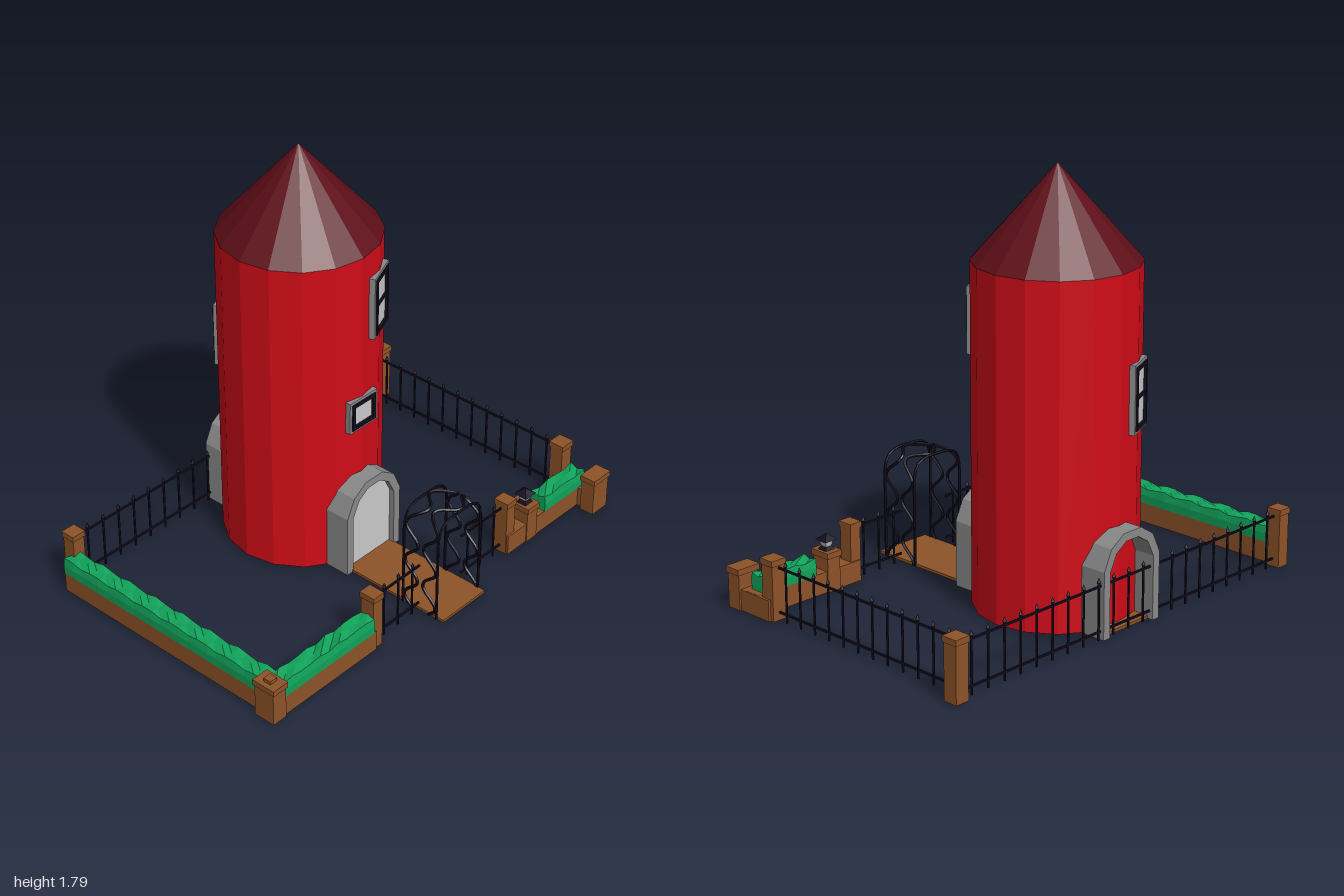
import * as THREE from 'three';

const mat = (color, side = THREE.FrontSide) =>
  new THREE.MeshStandardMaterial({ color, side, flatShading: true });
const RED = mat(0xd00c18, THREE.DoubleSide), ROOF = mat(0x5e0e18), BROWN = mat(0x8e5329);
const GREEN = mat(0x12a55c), IRON = mat(0x140e1e), STONE = mat(0x8a8a8a), PALE = mat(0xcccccc);
const CX = 0.03, CZ = -0.24, R = 0.335;

function add(parent, name, geo, material, x = 0, y = 0, z = 0) {
  const m = new THREE.Mesh(geo, material);
  m.name = name;
  m.position.set(x, y, z);
  parent.add(m);
  return m;
}

// box given by its extents
function box(parent, name, material, x0, x1, y0, y1, z0, z1) {
  return add(parent, name, new THREE.BoxGeometry(x1 - x0, y1 - y0, z1 - z0), material,
    (x0 + x1) / 2, (y0 + y1) / 2, (z0 + z1) / 2);
}

function group(parent, name) {
  const g = new THREE.Group();
  g.name = name;
  parent.add(g);
  return g;
}

// square pier with a slightly wider cap
function pier(parent, name, x, z, w, h, d = w) {
  const g = group(parent, name);
  box(g, 'pierShaft', BROWN, x - w * 0.44, x + w * 0.44, 0, h - 0.025, z - d * 0.44, z + d * 0.44);
  box(g, 'pierCap', BROWN, x - w / 2, x + w / 2, h - 0.025, h, z - d / 2, z + d / 2);
  return g;
}

// lumpy hedge: a segmented box whose upper vertices are nudged by waves
function hedge(parent, x0, x1, z0, z1) {
  const w = x1 - x0, d = z1 - z0;
  const geo = new THREE.BoxGeometry(w, 0.075, d,
    Math.max(2, Math.round(w / 0.05)), 2, Math.max(2, Math.round(d / 0.05)));
  const p = geo.attributes.position;
  for (let i = 0; i < p.count; i++) {
    const x = p.getX(i), y = p.getY(i), z = p.getZ(i);
    const n = Math.sin(x * 71 + z * 83 + 1.3);
    if (y > 0.03) p.setY(i, y - 0.005 + 0.007 * n);
    if (y > -0.03) {
      const k = (y > 0.03 ? 0.9 : 1.03) + 0.03 * n;
      if (w > d) p.setZ(i, z * k); else p.setX(i, x * k);
    }
  }
  geo.computeVertexNormals();
  add(parent, 'hedge', geo, GREEN, (x0 + x1) / 2, 0.125, (z0 + z1) / 2);
}

// iron fence along local x, with spear-tipped pickets
function fence(parent, name, ax, az, bx, bz) {
  const g = group(parent, name);
  const len = Math.hypot(bx - ax, bz - az);
  g.position.set(ax, 0, az);
  g.rotation.y = -Math.atan2(bz - az, bx - ax);
  for (const y of [0.035, 0.222])
    box(g, 'rail', IRON, 0, len, y - 0.004, y + 0.004, -0.004, 0.004);
  const n = Math.max(1, Math.round(len / 0.084));
  for (let i = 0; i < n; i++) {
    const x = (i + 0.5) * len / n;
    add(g, 'picket', new THREE.CylinderGeometry(0.005, 0.005, 0.24, 6), IRON, x, 0.12, 0);
    const tip = add(g, 'spearTip', new THREE.OctahedronGeometry(0.02), IRON, x, 0.238, 0);
    tip.scale.set(0.5, 1, 0.5);
  }
}

// framed window on the tower wall, at an angle measured from the front
function towerWindow(parent, name, angle, y, w, h, bar) {
  const g = group(parent, name);
  g.position.set(CX + Math.sin(angle) * R, y, CZ + Math.cos(angle) * R);
  g.rotation.y = angle;
  const ring = (label, material, a, b, t, z0, z1) => {
    for (const s of [-1, 1]) {
      const sx = s * (a - t) / 2, sy = s * (b - t) / 2;
      box(g, label, material, sx - t / 2, sx + t / 2, -b / 2, b / 2, z0, z1);
      box(g, label, material, -a / 2 + t, a / 2 - t, sy - t / 2, sy + t / 2, z0, z1);
    }
  };
  ring('outerFrame', STONE, w, h, 0.014, -0.035, 0.008);
  ring('innerFrame', IRON, w - 0.024, h - 0.024, 0.016, -0.03, 0.014);
  box(g, 'pane', PALE, -w / 2 + 0.02, w / 2 - 0.02, -h / 2 + 0.02, h / 2 - 0.02, -0.03, 0.003);
  if (bar) box(g, 'crossbar', IRON, -w / 2 + 0.02, w / 2 - 0.02, -0.007, 0.007, -0.02, 0.01);
}

// arched stone doorway facing local +z, with a recessed door
function doorway(parent, name, z, turn, depth, recess) {
  const g = group(parent, name);
  g.position.set(CX, 0, z);
  g.rotation.y = turn;
  const outer = [[0.16, 0], [0.16, 0.28], [0.12, 0.365], [0.05, 0.41]];
  const inner = [[0.125, 0], [0.125, 0.27], [0.09, 0.34], [0.035, 0.375]];
  const arch = (pts) => [...pts, ...pts.map(([x, y]) => [-x, y]).reverse()]
    .map(([x, y]) => new THREE.Vector2(x, y));
  const extrude = (pts, d) => new THREE.ExtrudeGeometry(new THREE.Shape(pts), { depth: d, bevelEnabled: false });
  add(g, 'stoneArch', extrude([...arch(outer), ...arch(inner).reverse()], depth), STONE, 0, 0, -depth);
  add(g, 'door', extrude(arch(inner), 0.02), PALE, 0, 0, -recess - 0.02);
}

// arbour: two plain hoops with two winding vines between them
function arbour(parent) {
  const g = group(parent, 'gardenArbour');
  const profile = [[-0.1, 0], [-0.1, 0.13], [-0.1, 0.27], [-0.098, 0.39], [-0.08, 0.44], [-0.04, 0.46],
    [0.03, 0.463], [0.1, 0.46], [0.14, 0.44], [0.158, 0.39], [0.16, 0.27], [0.16, 0.13], [0.16, 0]];
  const hoop = new THREE.CatmullRomCurve3(profile.map(([x, y]) => new THREE.Vector3(x, y, 0)));
  for (const z of [0.437, 0.613])
    add(g, 'hoop', new THREE.TubeGeometry(hoop, 40, 0.006, 6), IRON, 0, 0, z);
  const N = 44;
  for (const s of [-1, 1]) {
    const pts = [];
    for (let i = 0; i <= N; i++) {
      const p = hoop.getPointAt(i / N);
      p.z = 0.525 + s * (0.047 + 0.034 * Math.sin(i * Math.PI / 3.5));
      pts.push(p);
    }
    add(g, 'vine', new THREE.TubeGeometry(new THREE.CatmullRomCurve3(pts), 110, 0.007, 5), IRON);
  }
}

export function createModel() {
  const root = new THREE.Group();
  root.name = 'towerWithGarden';

  // tower
  const tower = group(root, 'tower');
  add(tower, 'towerWall', new THREE.CylinderGeometry(R, R, 1.41, 16, 1, true), RED, CX, 0.705, CZ);
  add(tower, 'roof', new THREE.ConeGeometry(R + 0.002, 0.38, 16), ROOF, CX, 1.6, CZ);
  towerWindow(tower, 'upperWindow', 0.4, 1.155, 0.165, 0.275, true);
  towerWindow(tower, 'lowerWindow', 0, 0.703, 0.16, 0.145, false);
  towerWindow(tower, 'backWindow', Math.PI + 0.43, 0.9, 0.155, 0.28, true);
  doorway(tower, 'frontDoorway', 0.163, 0, 0.19, 0.025);
  doorway(tower, 'backDoorway', -0.645, Math.PI, 0.19, 0.1);

  // path and arbour
  box(root, 'path', BROWN, -0.1, 0.16, 0, 0.012, -0.62, 0.65);
  arbour(root);

  // left garden wall
  const left = group(root, 'leftGardenWall');
  box(left, 'sideWall', BROWN, -0.968, -0.892, 0, 0.092, -0.62, 0.52);
  box(left, 'frontWall', BROWN, -0.96, -0.4, 0, 0.091, 0.483, 0.56);
  hedge(left, -0.97, -0.89, -0.62, 0.49);
  hedge(left, -0.93, -0.41, 0.483, 0.56);
  pier(left, 'cornerPier', -0.96, 0.52, 0.08, 0.17, 0.11);
  box(left, 'pierKnob', BROWN, -0.978, -0.942, 0.17, 0.185, 0.502, 0.538);
  pier(left, 'gatePier', -0.385, 0.52, 0.06, 0.255, 0.075);
  pier(left, 'backPier', -0.9, -0.63, 0.066, 0.255);

  // right garden wall
  const right = group(root, 'rightGardenWall');
  box(right, 'frontWall', BROWN, 0.42, 0.96, 0, 0.09, 0.483, 0.56);
  box(right, 'sideWall', BROWN, 0.89, 0.965, 0, 0.089, 0.42, 0.64);
  hedge(right, 0.66, 0.93, 0.483, 0.56);
  pier(right, 'gatePier', 0.442, 0.52, 0.06, 0.255, 0.07);
  pier(right, 'lanternPier', 0.572, 0.52, 0.075, 0.17, 0.1);
  pier(right, 'sidePier', 0.923, 0.435, 0.072, 0.255);
  pier(right, 'cornerPier', 0.925, 0.62, 0.11, 0.175, 0.075);
  pier(right, 'backPier', 0.963, -0.626, 0.072, 0.258);

  // lantern
  const lantern = group(right, 'lantern');
  lantern.position.set(0.572, 0.17, 0.52);
  lantern.rotation.y = Math.PI / 4;
  add(lantern, 'lanternBase', new THREE.CylinderGeometry(0.022, 0.034, 0.014, 4), IRON, 0, 0.007, 0);
  add(lantern, 'lanternGlass', new THREE.CylinderGeometry(0.03, 0.02, 0.03, 4), PALE, 0, 0.029, 0);
  add(lantern, 'lanternRoof', new THREE.ConeGeometry(0.046, 0.026, 4), IRON, 0, 0.055, 0);

  // iron fences
  fence(root, 'frontLeftFence', -0.355, 0.52, -0.1, 0.52);
  fence(root, 'frontRightFence', 0.16, 0.52, 0.412, 0.52);
  fence(root, 'backFence', -0.87, -0.628, 0.93, -0.628);
  fence(root, 'rightFence', 0.924, 0.4, 0.924, -0.592);
  return root;
}
